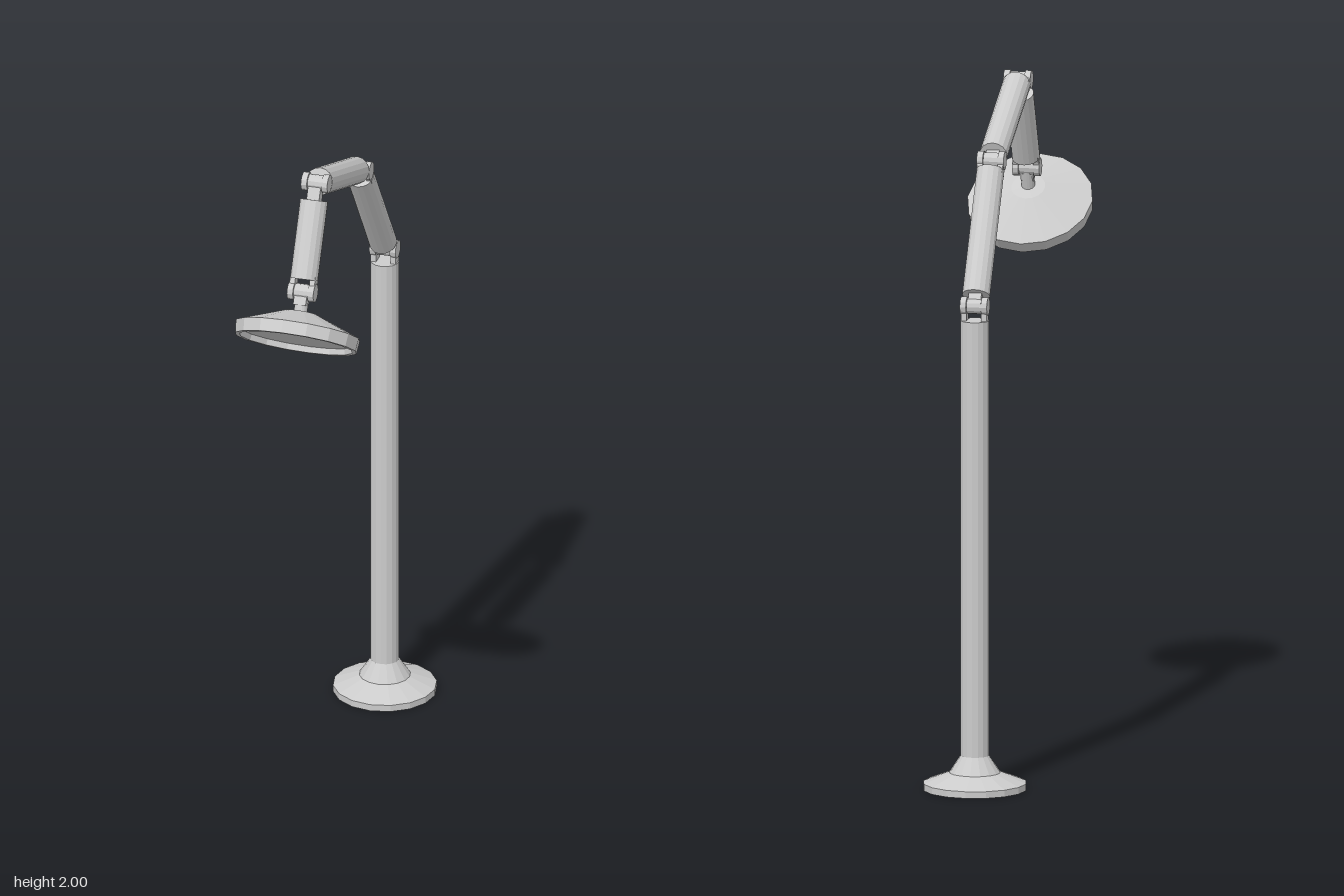
import * as THREE from 'three';

const SIDES = 16;
const UP = new THREE.Vector3(0, 1, 0);
const mat = new THREE.MeshStandardMaterial({ color: 0xcccccc, flatShading: true });

// Points in the lamp's plane of symmetry
const P = (y, z) => new THREE.Vector3(0, y, z);

function add(parent, name, geometry) {
  const mesh = new THREE.Mesh(geometry, mat);
  mesh.name = name;
  parent.add(mesh);
  return mesh;
}

// Point a mesh's y axis from a towards b
function aim(mesh, a, b) {
  mesh.quaternion.setFromUnitVectors(UP, b.clone().sub(a).normalize());
  return mesh;
}

// Turned part from [radius, height] pairs
function turned(points) {
  return new THREE.LatheGeometry(points.map(([r, y]) => new THREE.Vector2(r, y)), SIDES);
}

// Tube between two joints, leaving a gap at either end
function armTube(parent, name, a, b, gapA, gapB, radius) {
  const length = a.distanceTo(b);
  const mesh = aim(add(parent, name,
    new THREE.CylinderGeometry(radius, radius, length - gapA - gapB, SIDES)), a, b);
  mesh.position.lerpVectors(a, b, (gapA + (length - gapB)) / 2 / length);
}

// Flat lug reaching from a hinge centre towards a neighbouring part
function lug(parent, name, from, to, reach, x, width) {
  const mesh = aim(add(parent, name, new THREE.BoxGeometry(width, reach, 0.034)), from, to);
  const dir = to.clone().sub(from).normalize();
  mesh.position.copy(from).addScaledVector(dir, reach / 2);
  mesh.position.x = x;
}

// Hinge: a fork of two ears on one part, a central knuckle on the other
function hinge(parent, name, at, forkTo, forkReach, tongueTo, tongueReach) {
  const g = new THREE.Group();
  g.name = name;
  parent.add(g);
  const barrel = (label, x, width, r) => {
    const m = add(g, label, new THREE.CylinderGeometry(r, r, width, 12));
    m.rotation.z = Math.PI / 2;
    m.position.set(x, at.y, at.z);
  };
  for (const s of [-1, 1]) {
    barrel('hingeEar', s * 0.031, 0.018, 0.027);
    lug(g, 'forkLug', at, forkTo, forkReach, s * 0.03, 0.016);
  }
  barrel('hingeKnuckle', 0, 0.042, 0.023);
  lug(g, 'tongueLug', at, tongueTo, tongueReach, 0, 0.038);
}

export function createModel() {
  const lamp = new THREE.Group();
  lamp.name = 'deskLamp';

  const foot = P(0, -0.455);
  const lower = P(1.432, -0.455);
  const middle = P(1.813, -0.183);
  const upper = P(1.973, 0.247);
  const wrist = P(1.686, 0.39);
  const headBase = P(1.551, 0.459);
  const headAxis = P(0.82, -0.573);

  // Flared base and post
  add(lamp, 'base', turned([
    [0, 0], [0.152, 0], [0.152, 0.02], [0.075, 0.05], [0.042, 0.1], [0, 0.1],
  ])).position.copy(foot);
  armTube(lamp, 'post', foot, lower, 0.09, 0.042, 0.042);

  // Jointed arm
  armTube(lamp, 'lowerArm', lower, middle, 0.034, 0.032, 0.041);
  armTube(lamp, 'middleArm', middle, upper, 0.03, 0.028, 0.041);
  armTube(lamp, 'upperArm', upper, wrist, 0.052, 0.036, 0.041);

  // Hinges
  hinge(lamp, 'lowerHinge', lower, foot, 0.05, middle, 0.045);
  hinge(lamp, 'middleHinge', middle, lower, 0.045, upper, 0.045);
  hinge(lamp, 'upperHinge', upper, middle, 0.04, wrist, 0.06);
  hinge(lamp, 'headHinge', wrist, upper, 0.045, headBase, 0.04);

  // Shallow lamp head with a recessed underside
  const head = add(lamp, 'lampHead', turned([
    [0, 0.018], [0.165, 0.018], [0.168, 0], [0.181, 0],
    [0.185, 0.038], [0.05, 0.09], [0, 0.095],
  ]));
  head.position.copy(headBase);
  aim(head, P(0, 0), headAxis);

  // Stem between head and wrist hinge
  const neck = headBase.clone().addScaledVector(headAxis, 0.08);
  armTube(lamp, 'headStem', neck, wrist, 0, 0.01, 0.02);

  return lamp;
}
